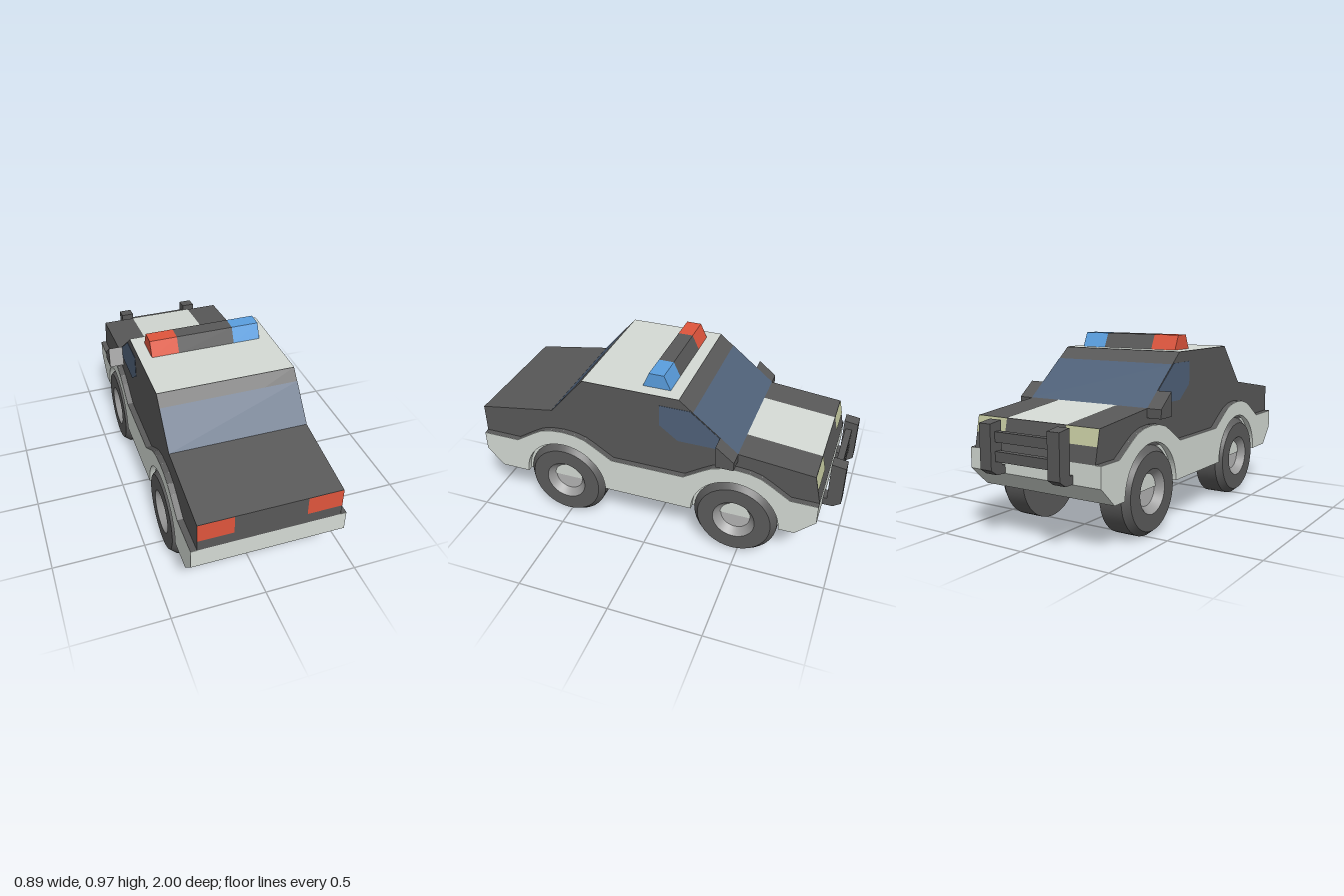
import * as THREE from 'three';
import { toCreasedNormals } from 'three/addons/utils/BufferGeometryUtils.js';

const paint = (color) => new THREE.MeshStandardMaterial({ color });
const dark = paint(0x595959), white = paint(0xd5dbd5), red = paint(0xe0553c), blue = paint(0x5a9fe0);
const glass = paint(0x50627a), cream = paint(0xc5caa0), tyreGrey = paint(0x5c5c5c);
const rimGrey = paint(0x9a9a9a), silver = paint(0xb4b4b4);

const WHEELS_Z = [0.505, -0.475];
const HALF = 0.365, WIDE = 0.396;

export function createModel() {
  const car = new THREE.Group();
  car.name = 'patrolCar';

  const add = (name, geometry, material, parent = car) => {
    const mesh = new THREE.Mesh(geometry, material);
    mesh.name = name;
    parent.add(mesh);
    return mesh;
  };

  const outline = (points) => new THREE.Shape(points.map(([z, y]) => new THREE.Vector2(z, y)));

  // Side outline in (z, y), extruded across from x0 to x1
  const slab = (name, shape, x0, x1, material) => {
    const g = new THREE.ExtrudeGeometry(shape, { depth: x1 - x0, bevelEnabled: false, curveSegments: 20 });
    g.rotateY(-Math.PI / 2).translate(x1, 0, 0);
    return add(name, g, material);
  };

  // Painted panels lying just above a (z, y) path that runs over the car from +z to -z
  const panel = (name, path, x0, x1, material, lift = 0.002) => {
    const pos = [];
    for (let i = 0; i + 1 < path.length; i++) {
      const dz = path[i + 1][0] - path[i][0], dy = path[i + 1][1] - path[i][1];
      const len = Math.hypot(dz, dy);
      const [p, q] = [path[i], path[i + 1]].map(([z, y]) => [y - (dz / len) * lift, z + (dy / len) * lift]);
      pos.push(x0, ...p, x1, ...p, x1, ...q, x0, ...p, x1, ...q, x0, ...q);
    }
    const g = new THREE.BufferGeometry();
    g.setAttribute('position', new THREE.Float32BufferAttribute(pos, 3));
    g.computeVertexNormals();
    return add(name, g, material);
  };

  // Upper body and lower hull
  slab('upperBody', outline([[1, 0.44], [-0.905, 0.44], [-0.87, 0.6], [-0.47, 0.64], [-0.155, 0.895],
    [0.375, 0.895], [0.57, 0.67], [1, 0.6]]), -HALF, HALF, dark);
  slab('lowerHull', outline([[1, 0.44], [1, 0.335], [0.91, 0.235], [-0.8, 0.235], [-0.905, 0.335],
    [-0.905, 0.44]]), -HALF, HALF, white);

  // Side skirts that swell over the wheels
  const bump = [[0.285, 0.44], [0.18, 0.508], [0.13, 0.537], [0.07, 0.554], [0, 0.56],
    [-0.07, 0.554], [-0.13, 0.537], [-0.18, 0.508], [-0.285, 0.44]];
  const skirtTop = [[1, 0.44], ...WHEELS_Z.flatMap((c) => bump.map(([z, y]) => [c + z, y])), [-0.905, 0.44]];
  const skirt = outline(skirtTop);
  skirt.lineTo(-0.905, 0.335);
  skirt.lineTo(-0.8, 0.235);
  for (const c of [...WHEELS_Z].reverse()) {
    skirt.lineTo(c - 0.24, 0.235);
    skirt.absarc(c, 0.235, 0.24, Math.PI, 0, true);
  }
  skirt.lineTo(0.91, 0.235);
  skirt.lineTo(1, 0.335);

  // Mirror and window outlines
  const mirrorShape = outline([[-0.375, 0.593], [-0.375, 0.717], [-0.472, 0.64], [-0.472, 0.593]]);
  const windowShape = outline([[-0.05, 0.84], [-0.05, 0.72], [-0.15, 0.645], [-0.46, 0.645], [-0.215, 0.84]]);
  // Push bar upright outline
  const uprightShape = outline([[-0.925, 0.6], [-0.925, 0.38], [-0.905, 0.38], [-0.905, 0.337],
    [-0.96, 0.337], [-1, 0.365], [-1, 0.59]]);

  for (const [side, s] of [['left', 1], ['right', -1]]) {
    const span = (a, b) => (s > 0 ? [a, b] : [-b, -a]);
    slab(side + 'Skirt', skirt, ...span(HALF, WIDE), white);
    panel(side + 'SkirtLedge', skirtTop, ...span(HALF, WIDE), dark);
    slab(side + 'Window', windowShape, ...span(HALF - 0.01, HALF + 0.002), glass);
    slab(side + 'Mirror', mirrorShape, ...span(HALF - 0.01, 0.445), dark);
    panel(side + 'MirrorGlass', [[-0.375, 0.593], [-0.375, 0.717]], ...span(HALF, 0.445), silver);
    panel(side + 'TailLight', [[1, 0.5], [1, 0.6]], ...span(0.184, HALF), red);
    panel(side + 'Headlight', [[-0.87, 0.6], [-0.888, 0.52]], ...span(0.18, HALF), cream);
    slab(side + 'PushBarUpright', uprightShape, ...span(0.17, 0.24), dark);
  }

  // Glass and paint on the top surfaces
  panel('rearScreen', [[0.57, 0.67], [0.423, 0.84]], -HALF, HALF, glass);
  panel('roof', [[0.375, 0.895], [-0.155, 0.895]], -HALF, HALF, white);
  panel('windscreen', [[-0.229, 0.835], [-0.47, 0.64]], -HALF, HALF, glass);
  panel('bonnetStripe', [[-0.47, 0.64], [-0.87, 0.6]], -0.185, 0.185, white);

  // Push bar rails
  for (const y of [0.525, 0.43]) {
    add('pushBarRail', new THREE.BoxGeometry(0.34, 0.05, 0.035).translate(0, y, -0.953), dark);
  }

  // Roof light bar in three sections
  const barShape = outline([[0.063, 0.895], [-0.09, 0.895], [-0.053, 0.975], [0.028, 0.975]]);
  slab('redBeacon', barShape, -0.3, -0.153, red);
  slab('beaconCentre', barShape, -0.153, 0.153, dark);
  slab('blueBeacon', barShape, 0.153, 0.3, blue);

  // Wheels: chamfered tyre, sunken rim cone and hub disc, turned about the x axis
  const turned = (points) => toCreasedNormals(
    new THREE.LatheGeometry(points.map(([r, x]) => new THREE.Vector2(r, x)), 36).rotateZ(-Math.PI / 2), 0.5);
  const tyre = turned([[0, 0.24], [0.228, 0.24], [0.228, 0.365], [0.2, 0.4], [0.115, 0.4]]);
  const rim = turned([[0.115, 0.4], [0.08, 0.36]]);
  const hub = turned([[0.08, 0.36], [0, 0.36]]);
  for (const z of WHEELS_Z) {
    for (const turn of [0, Math.PI]) {
      const wheel = new THREE.Group();
      wheel.name = 'wheel';
      add('tyre', tyre, tyreGrey, wheel);
      add('rim', rim, rimGrey, wheel);
      add('hub', hub, silver, wheel);
      wheel.position.set(0, 0.23, z);
      wheel.rotation.y = turn;
      car.add(wheel);
    }
  }
  return car;
}
